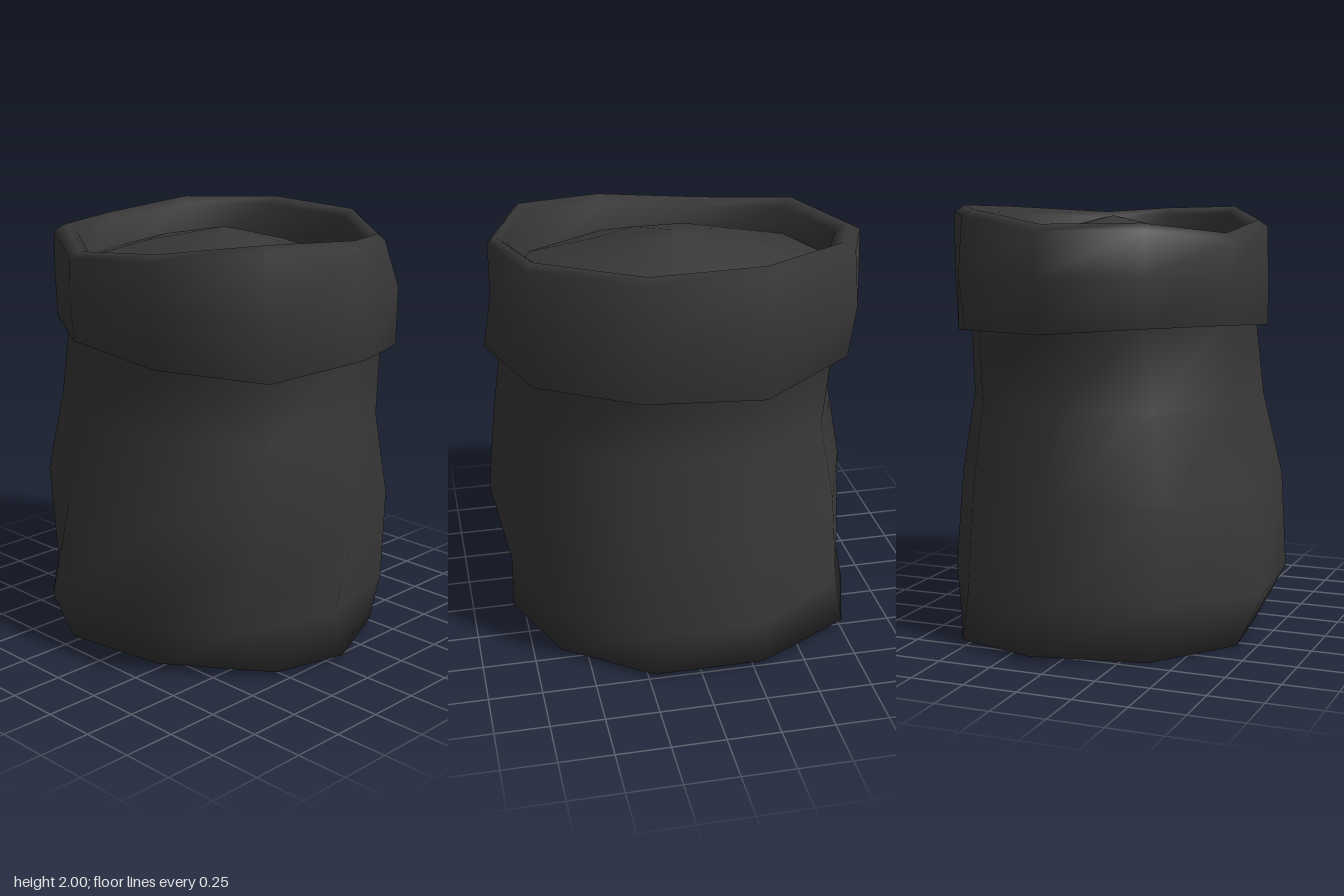
import * as THREE from 'three';

const SIDES = 10;

// Ten-sided ring fitted to x/z limits; y is a number or one height per corner.
// nudge moves single corners: { corner: [dx, dz] }
function ring(x0, x1, z0, z1, y, { dy = 0, nudge = {} } = {}) {
  const pts = [];
  for (let i = 0; i < SIDES; i++) {
    const a = (i / SIDES) * Math.PI * 2;
    const [dx, dz] = nudge[i] ?? [0, 0];
    pts.push([
      (x0 + x1) / 2 + Math.cos(a) * (x1 - x0) / 2 + dx,
      (Array.isArray(y) ? y[i] : y) + dy,
      (z0 + z1) / 2 + (Math.sin(a) / Math.sin(Math.PI * 0.4)) * (z1 - z0) / 2 + dz,
    ]);
  }
  return pts;
}

// Smooth skin through a list of rings
function loft(name, rings) {
  const index = [];
  for (let j = 0; j < rings.length - 1; j++) {
    for (let i = 0; i < SIDES; i++) {
      const n = (i + 1) % SIDES;
      const a = j * SIDES + i, b = j * SIDES + n;
      const c = a + SIDES, d = b + SIDES;
      index.push(a, c, b, b, c, d);
    }
  }
  const geo = new THREE.BufferGeometry();
  geo.setAttribute('position', new THREE.Float32BufferAttribute(rings.flat(2), 3));
  geo.setIndex(index);
  geo.computeVertexNormals();
  const material = new THREE.MeshStandardMaterial({ color: 0x383838, side: THREE.DoubleSide });
  const mesh = new THREE.Mesh(geo, material);
  mesh.name = name;
  return mesh;
}

export function createModel() {
  const group = new THREE.Group();
  group.name = 'sack';

  // Uneven hem heights, counted from +x round through the front
  const base = [0.03, 0.03, 0.02, 0.0, 0.0, 0.03, 0.03, 0.03, 0.03, 0.03];
  const hem = [1.46, 1.4, 1.43, 1.47, 1.48, 1.455, 1.45, 1.4, 1.43, 1.43];
  const top = [1.98, 1.99, 1.93, 1.88, 1.93, 1.925, 1.985, 2.0, 1.99, 1.96];
  const rim = { nudge: { 9: [0.03, 0.1] } };

  // Slumped body with closed bottom, running on into the folded collar
  group.add(loft('sackCloth', [
    ring(-0.04, -0.04, -0.05, -0.05, 0.02),
    ring(-0.88, 0.805, -0.76, 0.66, base, {
      nudge: { 1: [0.065, -0.09], 2: [0.02, -0.05], 4: [0.03, -0.02], 5: [0, -0.07], 6: [-0.04, -0.02], 9: [-0.02, 0.015] },
    }),
    ring(-0.86, 0.795, -0.785, 0.785, 0.26, {
      nudge: { 2: [0.03, -0.05], 4: [0.05, -0.03], 6: [-0.02, -0.01], 9: [0.02, -0.02] },
    }),
    ring(-0.855, 0.885, -0.76, 0.7, 0.71, {
      nudge: { 1: [-0.02, -0.015], 4: [-0.03, 0.02], 9: [-0.02, 0.01] },
    }),
    ring(-0.775, 0.85, -0.71, 0.6, 1.1, {
      nudge: { 4: [-0.05, 0.03], 9: [-0.04, 0.03] },
    }),
    ring(-0.81, 0.8, -0.7, 0.575, hem, { dy: 0.01 }),
    // fold, outer wall, rounded rim, inner wall
    ring(-0.885, 0.875, -0.76, 0.625, hem),
    ring(-0.89, 0.835, -0.765, 0.63, 1.7, {
      nudge: { 1: [0.04, 0.03], 6: [-0.02, -0.01], 9: [0.03, -0.01] },
    }),
    ring(-0.89, 0.835, -0.765, 0.625, top, { dy: -0.03, ...rim }),
    ring(-0.83, 0.8, -0.72, 0.58, top, rim),
    ring(-0.77, 0.755, -0.665, 0.53, top, { dy: -0.035, ...rim }),
    ring(-0.77, 0.755, -0.665, 0.53, 1.68, rim),
  ]));

  // Heaped contents
  group.add(loft('contents', [
    ring(-0.77, 0.755, -0.665, 0.53, 1.76, rim),
    ring(-0.4, 0.4, -0.37, 0.24, 1.87),
    ring(-0.04, 0.04, -0.11, -0.03, 1.942),
    ring(0, 0, -0.07, -0.07, 1.95),
  ]));

  return group;
}
